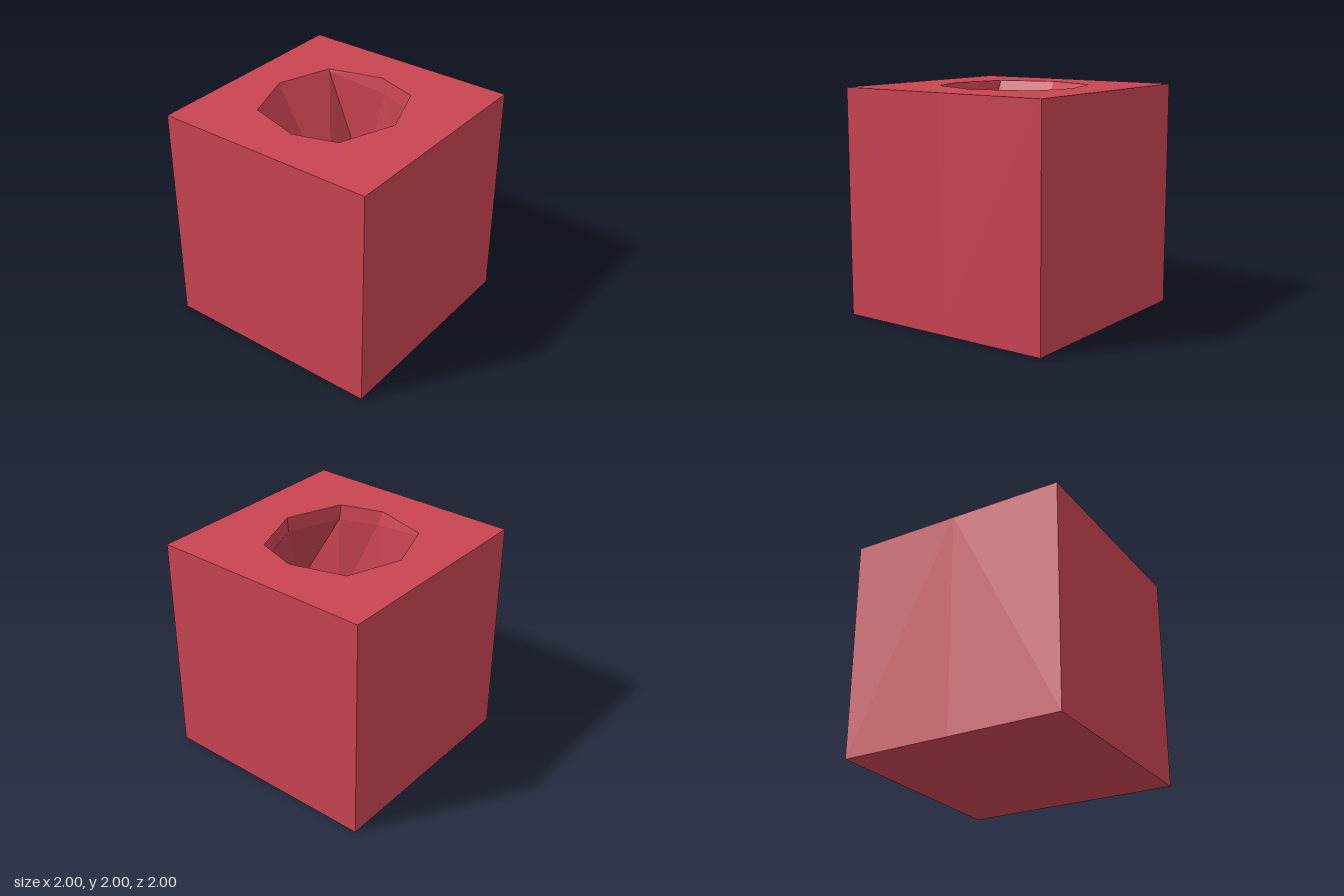
import * as THREE from 'three';

const TOP = 1.995;

// Eight-point ring at height y, from five [x, z] (or [x, z, drop]) points
// running -x to +x along the front half; the back half is mirrored in z.
function ring(y, half) {
  const pts = half.map(([x, z, drop = 0]) => new THREE.Vector3(x, y - drop, z));
  for (let i = 3; i > 0; i--) pts.push(new THREE.Vector3(pts[i].x, pts[i].y, -pts[i].z));
  return pts;
}

const point = (x, y) => ring(y, Array.from({ length: 5 }, () => [x, 0]));

// Skin consecutive rings with triangles, keeping the diagonals mirrored in z.
function loft(rings) {
  const pos = [];
  const tri = (a, b, c) => {
    if (a.equals(b) || b.equals(c) || a.equals(c)) return;
    for (const p of [a, b, c]) pos.push(p.x, p.y, p.z);
  };
  for (let r = 0; r < rings.length - 1; r++) {
    const a = rings[r], b = rings[r + 1];
    for (let i = 0; i < 8; i++) {
      const j = (i + 1) % 8;
      if (i < 4) { // diagonal from a[j] to b[i]
        tri(a[i], a[j], b[i]);
        tri(a[j], b[j], b[i]);
      } else {     // diagonal from a[i] to b[j]
        tri(a[i], a[j], b[j]);
        tri(a[i], b[j], b[i]);
      }
    }
  }
  const geo = new THREE.BufferGeometry();
  geo.setAttribute('position', new THREE.Float32BufferAttribute(pos, 3));
  geo.computeVertexNormals();
  return geo;
}

export function createModel() {
  const group = new THREE.Group();
  const material = new THREE.MeshStandardMaterial({ color: 0xc94452, flatShading: true });
  const add = (name, rings) => {
    const mesh = new THREE.Mesh(loft(rings), material);
    mesh.name = name;
    group.add(mesh);
  };

  const square = [[-1, 0], [-1, 1], [0, 1], [1, 1], [1, 0]];
  const rim = ring(TOP, [[-0.65, 0], [-0.48, 0.48], [0, 0.62], [0.38, 0.5], [0.57, 0]]);
  // Lip under the rim, deepening towards +x
  const lip = ring(TOP, [[-0.64, 0, 0.02], [-0.47, 0.475, 0.02], [0.04, 0.595, 0.13],
    [0.38, 0.48, 0.13], [0.56, 0, 0.13]]);
  // Square floor, set off to +x so the pit undercuts that side
  const floor = ring(TOP - 1, [[-0.09, 0], [-0.09, 0.5], [0.41, 0.5], [0.91, 0.5], [0.91, 0]]);

  // Cube: underside, sides, and top face around the opening
  add('block', [point(0, 0), ring(0, square), ring(TOP, square), rim]);
  // Slanted pit
  add('pitLip', [rim, lip]);
  add('pitWalls', [lip, floor]);
  add('pitFloor', [floor, point(0.41, TOP - 1)]);
  return group;
}
